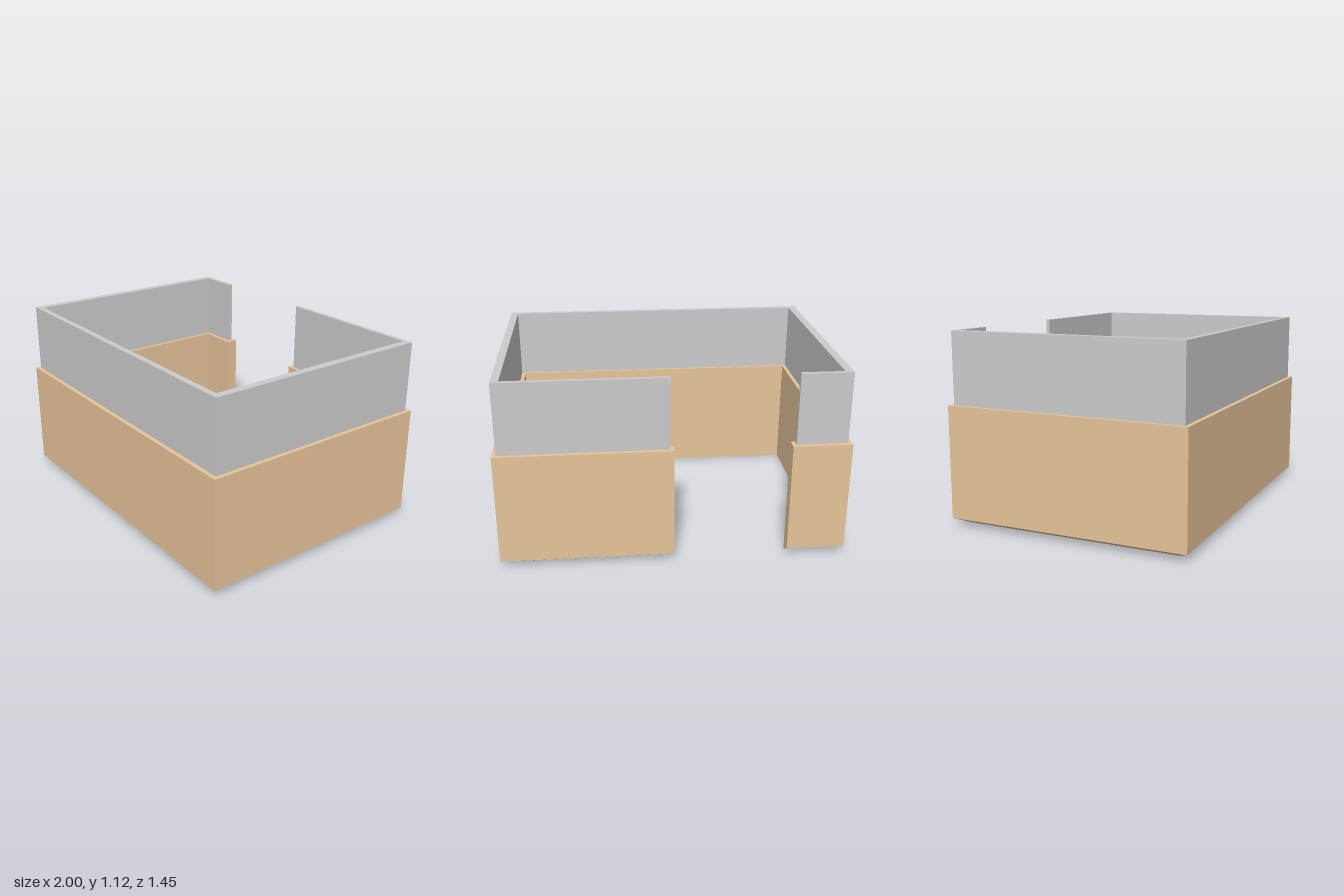
import * as THREE from 'three';

// Open wall run swept around the plan; each station is [outerX, outerZ, innerX, innerZ].
// The underside may slope from outerBase to innerBase.
function wall(name, stations, outerBase, innerBase, top, color) {
  const sections = stations.map(([ox, oz, ix, iz]) => [
    [ox, outerBase, oz], [ox, top, oz], [ix, top, iz], [ix, innerBase, iz],
  ]);
  const positions = [];
  const quad = (a, b, c, d) => positions.push(...a, ...b, ...c, ...a, ...c, ...d);
  for (let i = 0; i < sections.length - 1; i++) {
    const s = sections[i], t = sections[i + 1];
    for (let k = 0; k < 4; k++) {
      const n = (k + 1) % 4;
      quad(s[k], t[k], t[n], s[n]);
    }
  }
  // End caps at the doorway
  quad(...sections[0]);
  quad(...[...sections[sections.length - 1]].reverse());

  const geometry = new THREE.BufferGeometry();
  geometry.setAttribute('position', new THREE.Float32BufferAttribute(positions, 3));
  geometry.computeVertexNormals();
  const mesh = new THREE.Mesh(geometry, new THREE.MeshStandardMaterial({ color, flatShading: true }));
  mesh.name = name;
  return mesh;
}

export function createModel() {
  const model = new THREE.Group();
  model.name = 'roomWalls';

  // Thick lower wall with a sloped underside
  model.add(wall('lowerWall', [
    [-0.66, -0.725, -0.66, -0.652],
    [-1, -0.725, -0.907, -0.652],
    [-1, 0.722, -0.907, 0.644],
    [1, 0.722, 0.908, 0.644],
    [1, -0.722, 0.908, -0.652],
    [0.003, -0.722, 0.003, -0.652],
  ], 0.045, 0, 0.7, 0xe6c499));

  // Thinner upper wall standing on it
  model.add(wall('upperWall', [
    [-0.683, -0.7, -0.683, -0.676],
    [-0.977, -0.7, -0.93, -0.676],
    [-0.977, 0.697, -0.93, 0.661],
    [0.976, 0.697, 0.931, 0.661],
    [0.976, -0.7, 0.931, -0.676],
    [0.026, -0.7, 0.026, -0.676],
  ], 0.7, 0.7, 1.12, 0xcccccc));

  return model;
}
